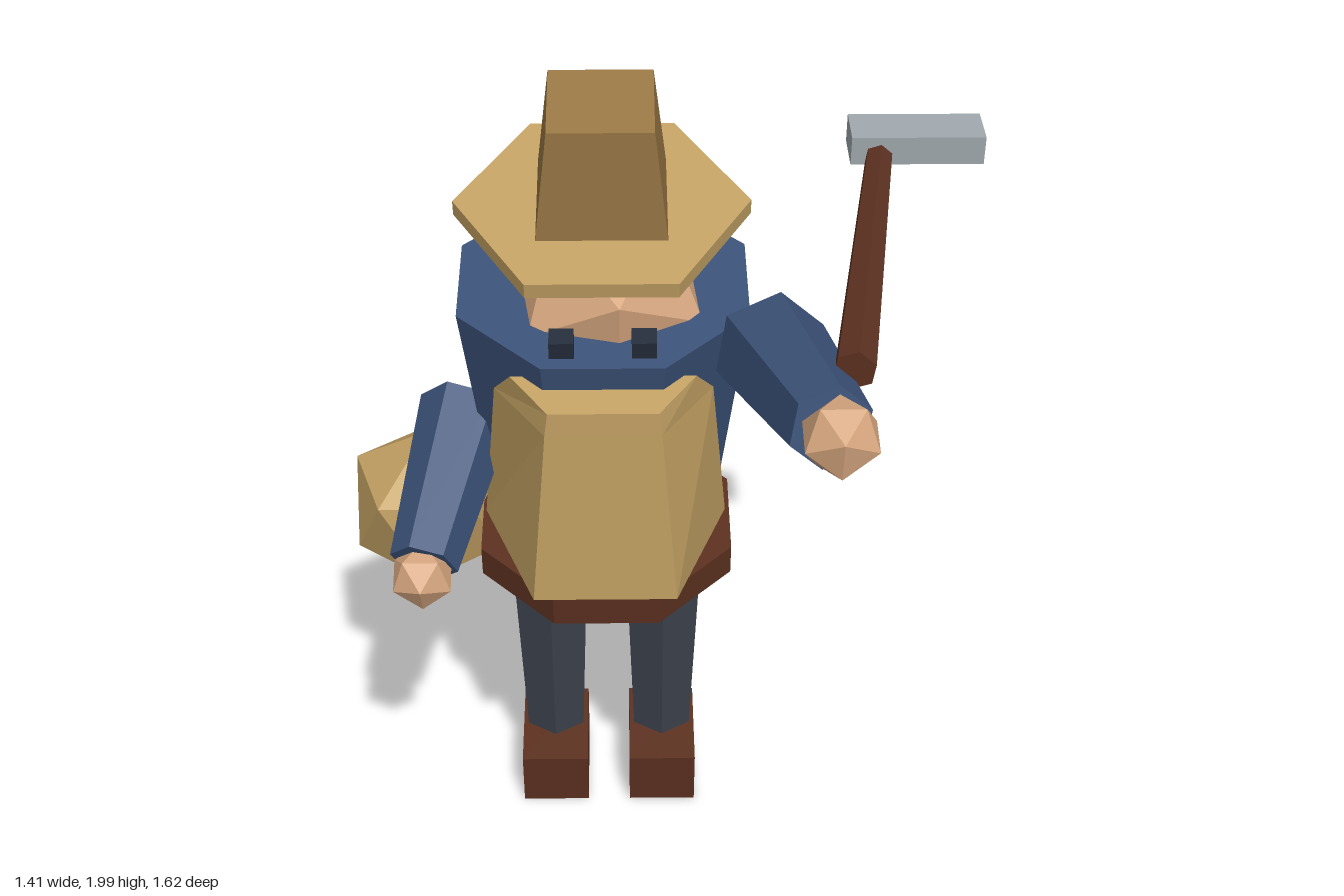
import * as THREE from 'three';

const paint = (name, color) => {
  const m = new THREE.MeshStandardMaterial({ color, flatShading: true });
  m.name = name;
  return m;
};

export function createModel() {
  const straw = paint('straw', 0xc4a264);
  const felt = paint('felt', 0x9a7845);
  const cloth = paint('blue cloth', 0x3b5278);
  const leather = paint('leather', 0x5c3120);
  const wool = paint('grey wool', 0x3f444f);
  const skin = paint('skin', 0xd6a67f);
  const steel = paint('steel', 0x9fa8ae);
  const dark = paint('eye dark', 0x262d3b);

  const model = new THREE.Group();
  model.name = 'hammerBearer';
  const CX = -0.083; // middle of the body
  const LEAN = 0.13; // forward lean of the body
  const NOD = 0.2; // forward tilt of the head and hat

  const add = (name, geometry, material, x, y, z, tilt = 0) => {
    const mesh = new THREE.Mesh(geometry, material);
    mesh.name = name;
    mesh.position.set(x, y, z);
    mesh.rotation.x = tilt;
    model.add(mesh);
    return mesh;
  };

  // Prism or frustum; turn rotates its corners about its own axis
  const frustum = (rTop, rBottom, h, sides, turn = 0) =>
    new THREE.CylinderGeometry(rTop, rBottom, h, sides).rotateY(turn);

  // Six-sided limb or rod running from point a to point b
  const rod = (name, material, a, b, ra, rb) => {
    const from = new THREE.Vector3(...a), to = new THREE.Vector3(...b);
    const dir = to.clone().sub(from);
    const mid = from.clone().add(to).multiplyScalar(0.5);
    const mesh = add(name, frustum(rb, ra, dir.length(), 6), material, mid.x, mid.y, mid.z);
    mesh.quaternion.setFromUnitVectors(new THREE.Vector3(0, 1, 0), dir.normalize());
  };

  // Boots and legs
  for (const [side, s] of [['left', 1], ['right', -1]]) {
    const x = CX + s * 0.137;
    add(side + 'Boot', new THREE.BoxGeometry(0.167, 0.155, 0.247), leather, x, 0.095, -0.477, LEAN);
    add(side + 'Leg', frustum(0.102, 0.082, 0.54, 6), wool, x, 0.44, -0.477, LEAN);
  }

  // Belt and torso, both eight-sided with a flat front
  const flat = 1 / Math.cos(Math.PI / 8);
  add('belt', frustum(0.299 * flat, 0.299 * flat, 0.08, 8, Math.PI / 8), leather, CX, 0.78, -0.496, LEAN);
  add('torso', frustum(0.319 * flat, 0.256 * flat, 0.558, 8, Math.PI / 8), cloth, CX, 1.229, -0.443, LEAN);

  // Beard: four-cornered cross-sections, [half width, y, z] of front and side corners
  const levels = [
    [[0.161, 0.894, -0.042], [0.28, 0.928, -0.35]],
    [[0.125, 1.335, -0.032], [0.24, 1.34, -0.222]],
    [[0.118, 1.39, -0.03], [0.2, 1.412, -0.148]],
  ].map(([f, s]) => [
    [-f[0], f[1], f[2]], [f[0], f[1], f[2]], [s[0], s[1], s[2]], [-s[0], s[1], s[2]],
  ]);
  const points = [];
  const quad = (a, b, c, d) => points.push(...a, ...b, ...c, ...a, ...c, ...d);
  for (let k = 0; k < 2; k++) {
    for (let i = 0; i < 4; i++) {
      const j = (i + 1) % 4;
      quad(levels[k][i], levels[k][j], levels[k + 1][j], levels[k + 1][i]);
    }
  }
  quad(...levels[2]);
  quad(...[...levels[0]].reverse());
  const beardGeometry = new THREE.BufferGeometry();
  beardGeometry.setAttribute('position', new THREE.Float32BufferAttribute(points, 3));
  beardGeometry.computeVertexNormals();
  add('beard', beardGeometry, straw, CX, 0, 0);

  // Head and eyes
  add('head', new THREE.IcosahedronGeometry(0.226, 0).rotateY(0.12), skin, -0.07, 1.488, -0.37, NOD);
  for (const [side, s] of [['left', 1], ['right', -1]]) {
    add(side + 'Eye', new THREE.BoxGeometry(0.053, 0.055, 0.05), dark, CX + s * 0.088, 1.487, -0.147, NOD);
  }

  // Hat
  add('hatBrim', frustum(0.318, 0.318, 0.035, 6, Math.PI / 6), straw, CX, 1.712, -0.345, NOD);
  add('hatCrown', frustum(0.11 * Math.SQRT2, 0.14 * Math.SQRT2, 0.26, 4, Math.PI / 4), felt, CX, 1.847, -0.322, NOD);

  // Arms and hands
  rod('rightSleeve', cloth, [-0.40, 1.17, -0.42], [-0.487, 0.975, -0.075], 0.11, 0.078);
  rod('leftSleeve', cloth, [0.235, 1.74, 0.30], [0.315, 1.805, 0.685], 0.11, 0.078);
  add('rightHand', new THREE.IcosahedronGeometry(0.075, 0), skin, -0.49, 0.958, -0.05, 0.5);
  add('leftHand', new THREE.IcosahedronGeometry(0.075, 0), skin, 0.327, 1.818, 0.735, 0.2);

  // Hammer
  rod('hammerHandle', leather, [0.367, 1.835, 0.545], [0.482, 1.886, -0.212], 0.04, 0.029);
  add('hammerHead', new THREE.BoxGeometry(0.274, 0.06, 0.105), steel, 0.566, 1.889, -0.293, 0.05);

  // Sack, standing on one corner
  add('sack', new THREE.IcosahedronGeometry(0.214, 0), straw, -0.522, 0.765, -0.632, 1.1);

  return model;
}
